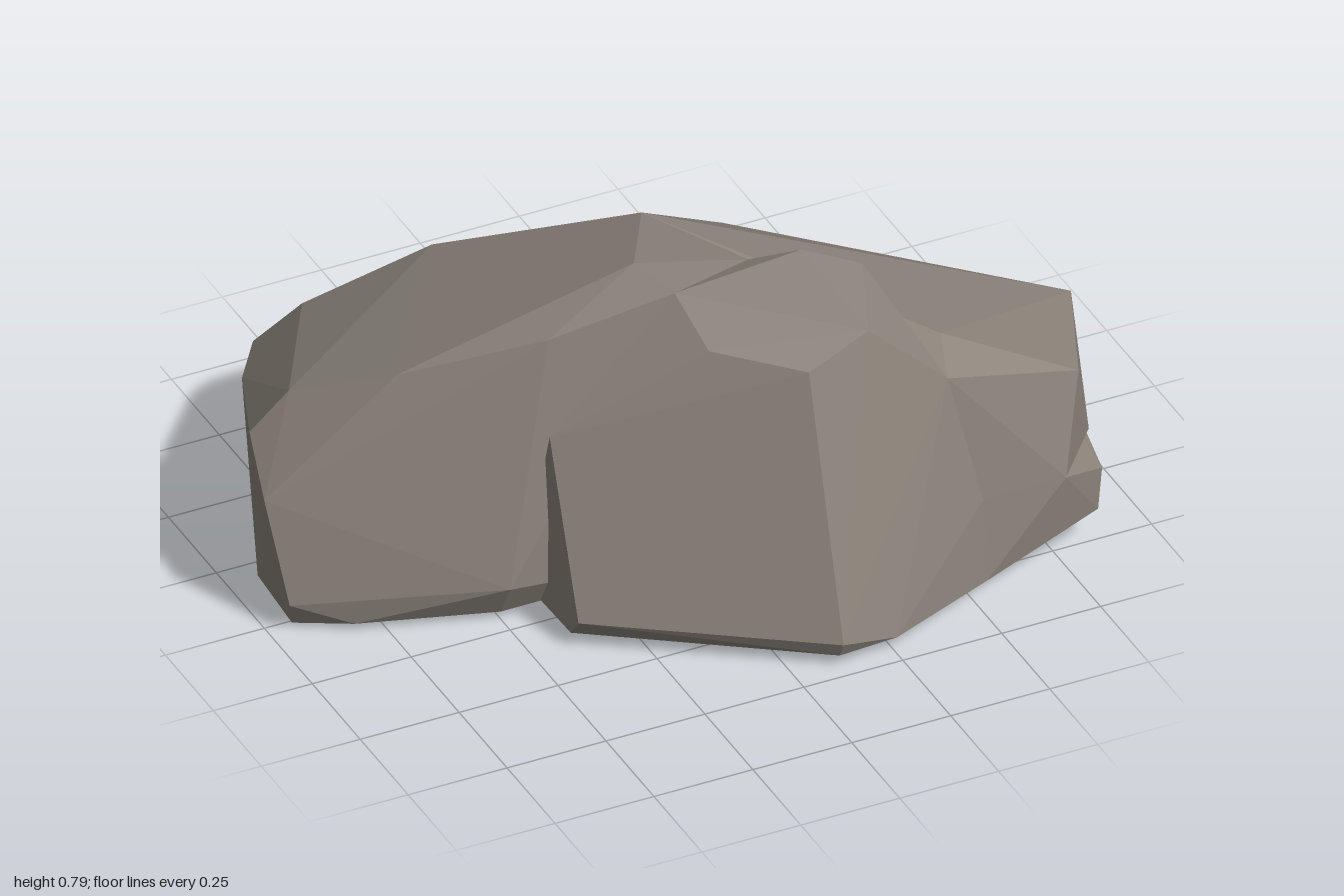
import * as THREE from 'three';
import { ConvexGeometry } from 'three/addons/geometries/ConvexGeometry.js';

// A boulder made of faceted, interlocking blocks; each block is the hull of its corners.
export function createModel() {
  const stone = new THREE.MeshStandardMaterial({ color: 0x8b847b });
  stone.name = 'warmGreyStone';

  const boulder = new THREE.Group();
  boulder.name = 'boulder';

  const addBlock = (name, corners) => {
    const points = corners.map(([x, y, z]) => new THREE.Vector3(x, y, z));
    const mesh = new THREE.Mesh(new ConvexGeometry(points), stone);
    mesh.name = name;
    boulder.add(mesh);
  };

  // Large slab with the broad sloping top
  addBlock('mainSlab', [
    // upper rim
    [-1, 0.35, 0], [-0.96, 0.43, -0.16], [-0.87, 0.53, -0.14], [-0.7, 0.65, 0.07],
    [-0.38, 0.73, 0.2], [-0.07, 0.78, 0.22], [-0.1, 0.78, 0.07], [0.16, 0.75, 0.13],
    [0.05, 0.71, -0.2],
    // back edge
    [0.2, 0.42, -0.39], [-0.3, 0.5, -0.57], [-0.58, 0.36, -0.67], [-0.67, 0.24, -0.74],
    [-0.79, 0.29, -0.55],
    // foot
    [0.1, 0.12, -0.53], [0.1, 0.03, -0.48], [-0.6, 0.03, -0.7], [-0.92, 0, -0.2],
    [-0.94, 0.01, 0.02], [-0.96, 0.08, 0.05], [-0.82, 0.02, 0.1], [-0.5, 0.11, 0.25],
    [-0.5, 0.02, 0.2], [0.1, 0.02, 0.2],
  ]);

  // Steep buttress at the front
  addBlock('frontButtress', [
    // crown
    [-0.4, 0.5, 0.25], [-0.07, 0.73, 0.4], [0.11, 0.71, 0.55], [0.28, 0.75, 0.51],
    [0.38, 0.76, 0.27], [0.26, 0.79, 0.2], [0.16, 0.75, 0.13], [-0.07, 0.78, 0.22],
    // notch beside the shoulder
    [0.34, 0.6, 0.04], [0.38, 0.62, 0.14], [0.43, 0.65, 0.4], [0.48, 0.56, 0.51],
    // foot
    [0.55, 0.23, 0.55], [-0.4, 0.08, 0.4], [-0.4, 0.03, 0.36], [0.11, 0.07, 0.73],
    [0.11, 0.03, 0.71], [0.26, 0.03, 0.7], [0.55, 0.02, 0.57], [0.4, 0.02, 0.1],
    [-0.4, 0.02, 0.1],
  ]);

  // Sloping shoulder with an overhanging tip
  addBlock('shoulder', [
    [0.05, 0.71, -0.2], [0.38, 0.53, -0.21], [0.34, 0.6, 0.04], [0.52, 0.6, 0.39],
    [0.48, 0.56, 0.51], [0.82, 0.47, 0.49], [0.99, 0.4, 0.1], [0.41, 0.38, -0.52],
    [0.55, 0.23, 0.55], [0.76, 0.23, 0.55], [0.88, 0.25, 0.42], [0.91, 0.24, 0.01],
    [0.7, 0.135, -0.32], [0.41, 0.135, -0.52], [0.1, 0.1, -0.45], [0.1, 0.1, 0.3],
  ]);

  // Low ledge under the shoulder
  addBlock('lowerLedge', [
    [0.55, 0.23, 0.55], [0.76, 0.23, 0.55], [0.87, 0.2, 0.51], [0.95, 0.2, 0.13],
    [0.91, 0.24, 0.01], [0.94, 0.1, 0.16], [0.86, 0.09, 0.42], [0.86, 0.09, 0.51],
    [0.7, 0.135, -0.32], [0.41, 0.135, -0.52], [0.41, 0.045, -0.52], [0.1, 0.1, -0.53],
    [0.1, 0.03, -0.48], [0.55, 0.02, 0.57], [0.42, 0.015, 0], [0.1, 0.02, 0.4],
  ]);

  return boulder;
}
